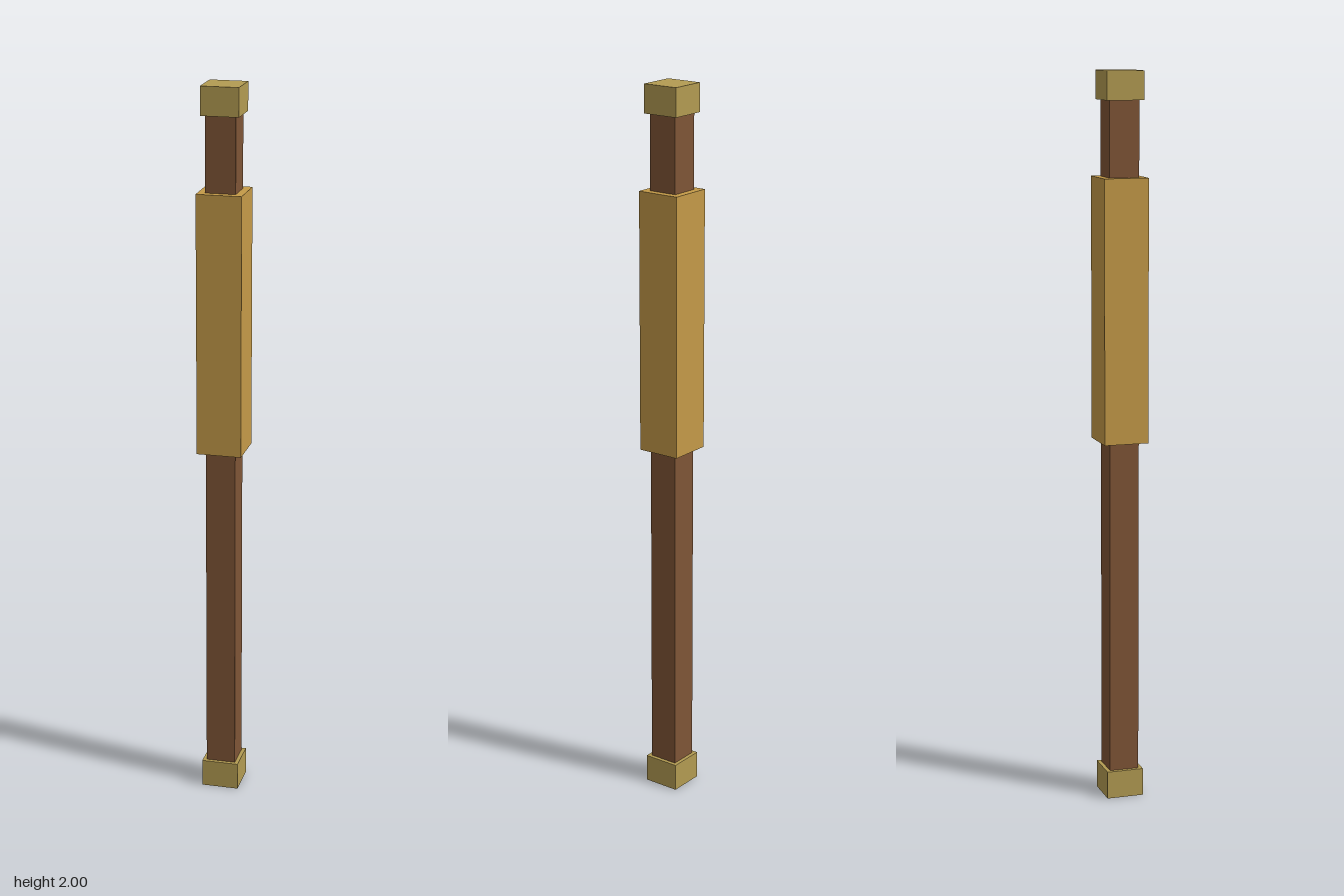
import * as THREE from 'three';

export function createModel() {
  const group = new THREE.Group();
  group.name = 'staff';

  const material = (name, color) => {
    const m = new THREE.MeshStandardMaterial({ color });
    m.name = name;
    return m;
  };
  const wood = material('brown wood', 0x7f5536);
  const wrap = material('golden tan', 0xc49a48);
  const brass = material('dull brass', 0xb39b52);

  // Square bar centred on the axis, from y0 up to y1
  const bar = (name, width, y0, y1, mat) => {
    const mesh = new THREE.Mesh(new THREE.BoxGeometry(width, y1 - y0, width), mat);
    mesh.name = name;
    mesh.position.y = (y0 + y1) / 2;
    group.add(mesh);
  };

  bar('shaft', 0.082, 0.03, 1.97, wood);
  bar('gripSleeve', 0.123, 1.005, 1.72, wrap);
  bar('bottomCap', 0.103, 0, 0.077, brass);
  bar('topCap', 0.103, 1.923, 2, brass);

  return group;
}
